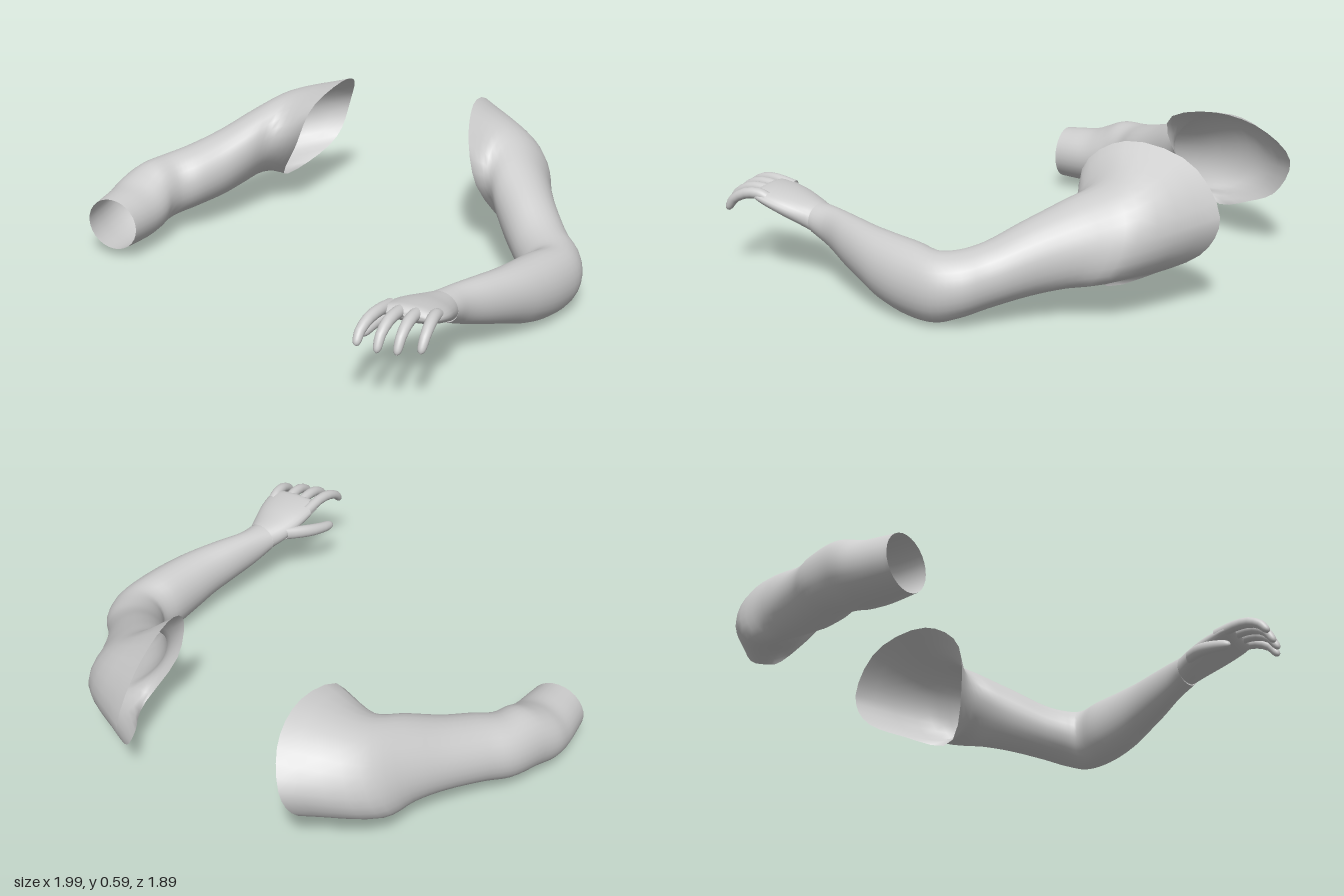
import * as THREE from 'three';

const SIDES = 28;
const skin = new THREE.MeshStandardMaterial({ color: 0xcccccc, side: THREE.DoubleSide });
const V = (p) => new THREE.Vector3(...p);

// Ring of points around a centre, spanned by two half-axes (u = inner side, v = top)
function ring(c, u, v) {
  return Array.from({ length: SIDES }, (_, j) => {
    const t = (j / SIDES) * Math.PI * 2;
    return c.clone().addScaledVector(u, Math.cos(t)).addScaledVector(v, Math.sin(t));
  });
}

// Limb section: inner x,z, outer x,z, top y, bottom y, lean of the top along the limb
function section([ix, iz, ox, oz, top, bottom, lean = 0]) {
  const u = new THREE.Vector3((ix - ox) / 2, 0, (iz - oz) / 2);
  const along = new THREE.Vector3(u.z, 0, -u.x).normalize();
  const c = new THREE.Vector3((ix + ox) / 2, (top + bottom) / 2, (iz + oz) / 2);
  return ring(c, u, new THREE.Vector3(0, (top - bottom) / 2, 0).addScaledVector(along, lean));
}

// Freeform rim: closed curve starting at the inner side and going over the top
function rim(points) {
  const curve = new THREE.CatmullRomCurve3(points.map(V), true);
  return Array.from({ length: SIDES }, (_, j) => curve.getPoint(j / SIDES));
}

// Smooth skin through a series of rings
function loft(name, rings, steps = 4, mirror = false) {
  const rows = (rings.length - 1) * steps;
  const columns = rings[0].map((_, j) => new THREE.CatmullRomCurve3(rings.map((r) => r[j])));
  const pos = [], index = [];
  for (let i = 0; i <= rows; i++) {
    for (let j = 0; j < SIDES; j++) {
      const p = columns[j].getPoint(i / rows);
      pos.push(mirror ? -p.x : p.x, p.y, p.z);
      if (i === rows) continue;
      const a = i * SIDES + j, b = i * SIDES + ((j + 1) % SIDES);
      const c = a + SIDES, d = b + SIDES;
      if (mirror) index.push(a, b, c, b, d, c);
      else index.push(a, c, b, b, c, d);
    }
  }
  const geo = new THREE.BufferGeometry();
  geo.setAttribute('position', new THREE.Float32BufferAttribute(pos, 3));
  geo.setIndex(index);
  geo.computeVertexNormals();
  const mesh = new THREE.Mesh(geo, skin);
  mesh.name = name;
  return mesh;
}

// Finger or thumb: tapered round sweep with a rounded tip
function digit(name, points, r) {
  const curve = new THREE.CatmullRomCurve3(points.map(V));
  const u = new THREE.Vector3(-1, 0, 0);
  const profile = [[0, 1.05], [0.25, 1.05], [0.5, 1], [0.75, 0.88], [0.9, 0.76], [0.97, 0.5], [1, 0.02]];
  return loft(name, profile.map(([t, s]) => {
    const v = u.clone().cross(curve.getTangent(t)).normalize();
    return ring(curve.getPoint(t), u.clone().multiplyScalar(r * s), v.multiplyScalar(r * s));
  }), 2);
}

export function createModel() {
  const model = new THREE.Group();
  model.name = 'arms';

  // Left arm: open shoulder rim, bent elbow, forearm down to the wrist
  const leftArm = new THREE.Group();
  leftArm.name = 'leftArm';
  leftArm.add(loft('leftArmSkin', [
    rim([[0.43, 0.3, -0.44], [0.39, 0.5, -0.44], [0.35, 0.59, -0.58], [0.32, 0.53, -0.82],
      [0.33, 0.35, -0.94], [0.34, 0.22, -0.89], [0.42, 0.14, -0.74], [0.52, 0.1, -0.57]]),
    ...[
      [0.49, -0.42, 0.62, -0.75, 0.49, 0.13, -0.06],
      [0.55, -0.35, 0.7, -0.59, 0.42, 0.11, -0.03],
      [0.62, -0.27, 0.78, -0.45, 0.35, 0.085],
      [0.7, -0.18, 0.88, -0.32, 0.285, 0.05],
      [0.75, -0.12, 0.95, -0.245, 0.265, 0.025],
      [0.775, -0.08, 0.99, -0.14, 0.26, 0.003],
      [0.75, 0.0, 0.977, 0.0, 0.272, 0.003],
      [0.73, 0.12, 0.94, 0.13, 0.28, 0.03],
      [0.71, 0.22, 0.9, 0.22, 0.285, 0.065],
      [0.68, 0.32, 0.84, 0.33, 0.29, 0.1],
      [0.645, 0.43, 0.775, 0.44, 0.293, 0.14],
      [0.62, 0.5, 0.757, 0.52, 0.295, 0.175],
    ].map(section),
  ]));

  // Left hand: palm, four curled fingers and thumb
  const hand = new THREE.Group();
  hand.name = 'leftHand';
  hand.add(loft('palm', [
    [0.62, 0.5, 0.757, 0.52, 0.295, 0.18],
    [0.585, 0.57, 0.77, 0.58, 0.31, 0.205],
    [0.565, 0.64, 0.784, 0.65, 0.328, 0.235],
    [0.555, 0.71, 0.786, 0.71, 0.338, 0.262],
    [0.555, 0.755, 0.78, 0.745, 0.338, 0.28],
    [0.57, 0.772, 0.77, 0.762, 0.325, 0.295],
    [0.65, 0.775, 0.69, 0.77, 0.312, 0.308],
  ].map(section)));
  const fingers = [
    ['indexFinger', 0.578, 0.558, 0.94, 0.25],
    ['middleFinger', 0.637, 0.63, 0.93, 0.235],
    ['ringFinger', 0.695, 0.698, 0.915, 0.235],
    ['littleFinger', 0.755, 0.77, 0.88, 0.24],
  ];
  for (const [name, x0, x1, z, y] of fingers) {
    hand.add(digit(name, [[x0, 0.305, 0.7], [x0 + (x1 - x0) * 0.4, 0.32, z - 0.13],
      [x1, 0.3, z - 0.05], [x1, y, z]], 0.021));
  }
  hand.add(digit('thumb', [[0.61, 0.255, 0.56], [0.555, 0.245, 0.635], [0.522, 0.23, 0.71], [0.508, 0.213, 0.795]], 0.026));
  leftArm.add(hand);

  // Right arm: open shoulder rim, elbow, short forearm with an open end
  const rightArm = new THREE.Group();
  rightArm.name = 'rightArm';
  rightArm.add(loft('rightArmSkin', [
    rim([[0.41, 0.32, -0.47], [0.33, 0.5, -0.46], [0.295, 0.56, -0.67], [0.32, 0.51, -0.85],
      [0.385, 0.38, -0.95], [0.41, 0.24, -0.89], [0.45, 0.17, -0.76], [0.53, 0.12, -0.59]]),
    ...[
      [0.5, -0.41, 0.63, -0.76, 0.5, 0.14, -0.06],
      [0.55, -0.32, 0.7, -0.59, 0.45, 0.13, -0.03],
      [0.61, -0.21, 0.77, -0.44, 0.385, 0.11],
      [0.67, -0.11, 0.86, -0.28, 0.345, 0.085],
      [0.72, -0.05, 0.925, -0.18, 0.325, 0.065],
      [0.735, 0.0, 0.97, -0.05, 0.318, 0.05],
      [0.735, 0.05, 0.998, 0.04, 0.29, 0.035],
      [0.74, 0.11, 1.0, 0.11, 0.265, 0.03],
      [0.75, 0.19, 0.993, 0.19, 0.257, 0.032],
      [0.76, 0.255, 0.985, 0.255, 0.252, 0.036],
    ].map(section),
  ], 4, true));

  model.add(leftArm, rightArm);
  return model;
}
